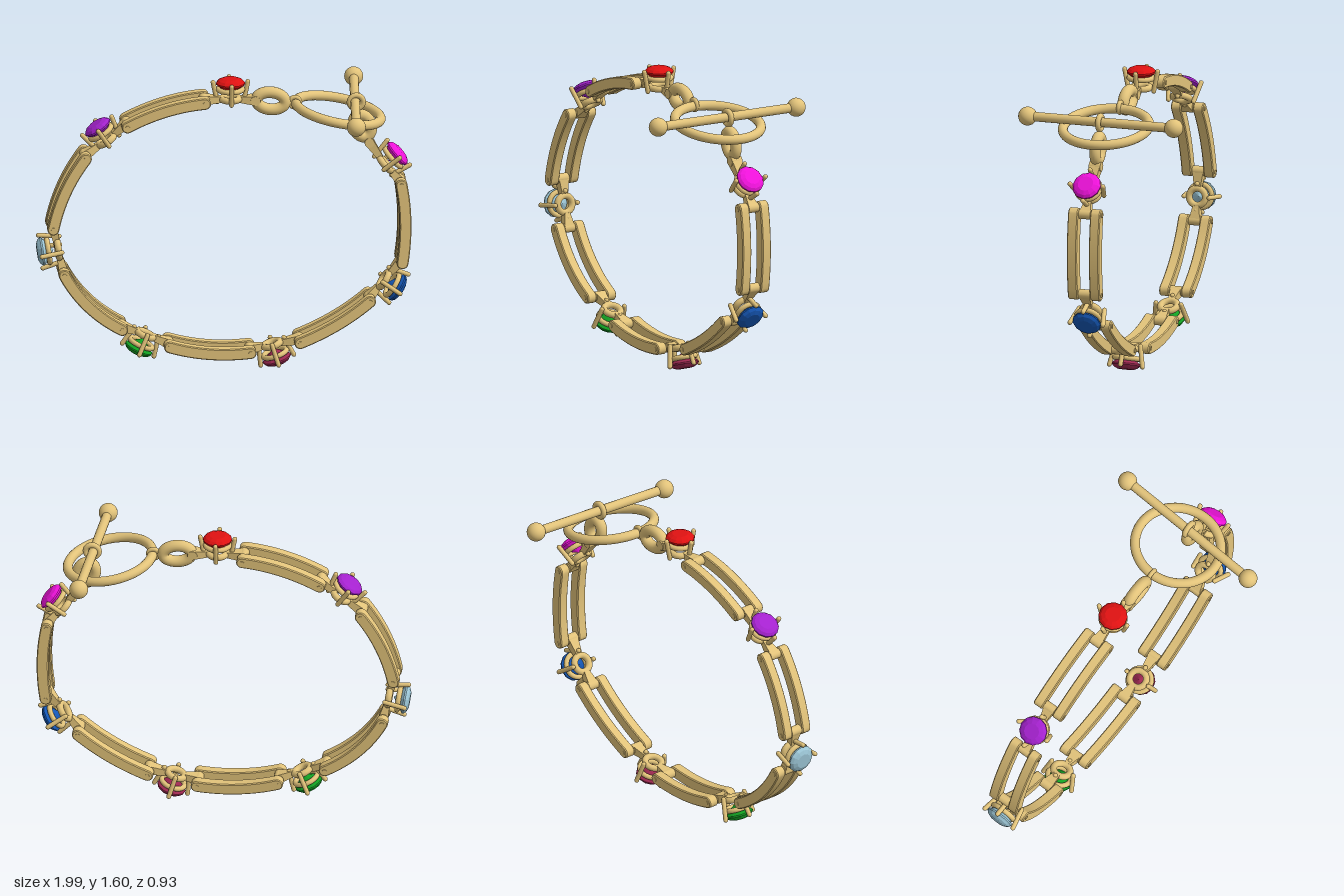
import * as THREE from 'three';
import { toCreasedNormals } from 'three/addons/utils/BufferGeometryUtils.js';

const gold = new THREE.MeshStandardMaterial({ color: 0xe2c37a });
const V = (x, y, z = 0) => new THREE.Vector3(x, y, z);

function add(parent, name, geometry, material = gold) {
  const mesh = new THREE.Mesh(geometry, material);
  mesh.name = name;
  parent.add(mesh);
  return mesh;
}

// Round rod between two points, with rounded ends
function rod(parent, name, a, b, r) {
  const dir = b.clone().sub(a);
  const mesh = add(parent, name, new THREE.CapsuleGeometry(r, dir.length(), 6, 14));
  mesh.position.copy(a).add(b).multiplyScalar(0.5);
  mesh.quaternion.setFromUnitVectors(V(0, 1), dir.normalize());
  return mesh;
}

// Stations round the bracelet: gem centre, outward direction, gem colour
const stations = [
  { at: V(0.035, 1.575), out: V(0, 1), color: 0xe01212 },
  { at: V(-0.666, 1.35), out: V(-0.54, 0.84), color: 0xa522cf },
  { at: V(-0.96, 0.67), out: V(-0.99, -0.13), color: 0x9cc6d6 },
  { at: V(-0.45, 0.12), out: V(-0.41, -0.91), color: 0x12a022 },
  { at: V(0.28, 0.045), out: V(0.3, -0.95), color: 0x9c2850 },
  { at: V(0.917, 0.42), out: V(0.83, -0.55), color: 0x1557b5 },
  { at: V(0.917, 1.163), out: V(0.76, 0.65), color: 0xf012dc },
];

// Curved side bars: start, middle, end, each joining one station to the next
const links = [
  [[-0.105, 1.49], [-0.313, 1.452], [-0.515, 1.37]],
  [[-0.735, 1.2], [-0.842, 1.018], [-0.907, 0.815]],
  [[-0.848, 0.559], [-0.72, 0.382], [-0.543, 0.249]],
  [[-0.291, 0.147], [-0.083, 0.104], [0.136, 0.104]],
  [[0.398, 0.152], [0.596, 0.249], [0.767, 0.372]],
  [[0.938, 0.58], [0.954, 0.8], [0.933, 1.013]],
];

const BASE = 0.085; // depth of the base ring below the gem
const baseOf = (s) => s.at.clone().addScaledVector(s.out, -BASE);

// Gem held by four prongs on two rings
function makeSetting({ at, out, color }) {
  const g = new THREE.Group();
  g.name = 'gemSetting';
  const profile = [[0, -0.06], [0.045, -0.028], [0.077, -0.004], [0.077, 0.004], [0.064, 0.018], [0.042, 0.027], [0, 0.027]];
  const gemGeo = new THREE.LatheGeometry(profile.map((p) => new THREE.Vector2(...p)), 12);
  add(g, 'gem', gemGeo, new THREE.MeshStandardMaterial({ color, flatShading: true }));
  for (const [name, y, r, t] of [['upperRing', -0.032, 0.063, 0.014], ['baseRing', -BASE, 0.045, 0.018]]) {
    const ring = add(g, name, new THREE.TorusGeometry(r, t, 12, 32));
    ring.rotation.x = Math.PI / 2;
    ring.position.y = y;
  }
  for (let i = 0; i < 4; i++) {
    const a = (i * Math.PI) / 2, c = Math.cos(a), s = Math.sin(a);
    rod(g, 'prong', V(0.07 * c, -0.1, 0.07 * s), V(0.092 * c, 0.008, 0.092 * s), 0.0125);
  }
  g.position.copy(at);
  g.quaternion.setFromUnitVectors(V(0, 1), out.clone().normalize());
  return g;
}

// Curved bar with round ends, extruded along z
function barGeometry(points) {
  const [a, m, b] = points.map((p) => new THREE.Vector2(...p));
  const control = m.clone().multiplyScalar(2).sub(a.clone().add(b).multiplyScalar(0.5));
  const curve = new THREE.QuadraticBezierCurve(a, control, b);
  const bevel = 0.005, h = 0.031 - bevel, n = 16, outline = [];
  const push = (t, angle) => {
    const p = curve.getPoint(t), d = curve.getTangent(t);
    const k = Math.atan2(d.y, d.x) + angle;
    outline.push(new THREE.Vector2(p.x + h * Math.cos(k), p.y + h * Math.sin(k)));
  };
  for (let i = 0; i <= n; i++) push(i / n, -Math.PI / 2);
  for (let i = 1; i < 8; i++) push(1, -Math.PI / 2 + (i * Math.PI) / 8);
  for (let i = n; i >= 0; i--) push(i / n, Math.PI / 2);
  for (let i = 1; i < 8; i++) push(0, Math.PI / 2 + (i * Math.PI) / 8);
  const geo = new THREE.ExtrudeGeometry(new THREE.Shape(outline), {
    depth: 0.055 - 2 * bevel, bevelThickness: bevel, bevelSize: bevel, bevelSegments: 1,
  });
  geo.translate(0, 0, -0.0275 + bevel);
  return toCreasedNormals(geo, 0.5);
}

// Tapered lug from a setting's base ring to a joint
function addLug(parent, from, to) {
  const dir = to.clone().sub(from), start = 0.048, len = dir.length() - start;
  const g = new THREE.Group();
  g.name = 'lug';
  const geo = new THREE.BoxGeometry(len, 0.05, 0.062);
  const p = geo.attributes.position;
  for (let i = 0; i < p.count; i++) {
    if (p.getX(i) < 0) p.setXYZ(i, p.getX(i), p.getY(i) * 0.65, p.getZ(i) * 0.55);
  }
  geo.computeVertexNormals();
  add(g, 'lugArm', geo).position.x = start + len / 2;
  const barrel = add(g, 'lugBarrel', new THREE.CylinderGeometry(0.026, 0.026, 0.064, 24));
  barrel.rotation.x = Math.PI / 2;
  barrel.position.x = start + len;
  g.position.copy(from);
  g.rotation.z = Math.atan2(dir.y, dir.x);
  parent.add(g);
}

// Oval ring lying in the xy plane
function addOval(parent, name, x, y, a, b, tube, angle) {
  const pts = [];
  for (let i = 0; i < 16; i++) {
    const t = (i * Math.PI) / 8;
    pts.push(V(a * Math.cos(t), b * Math.sin(t)));
  }
  const curve = new THREE.CatmullRomCurve3(pts, true);
  const mesh = add(parent, name, new THREE.TubeGeometry(curve, 48, tube, 16, true));
  mesh.position.set(x, y, 0);
  mesh.rotation.z = angle;
}

function addRing(parent, name, x, y, r, tube) {
  add(parent, name, new THREE.TorusGeometry(r, tube, 12, 32)).position.set(x, y, 0);
}

export function createModel() {
  const model = new THREE.Group();
  model.name = 'gemBracelet';

  stations.forEach((s) => model.add(makeSetting(s)));

  // Paired bars with lugs and pins at both ends
  links.forEach((points, i) => {
    const link = new THREE.Group();
    link.name = 'curvedLink';
    const geo = barGeometry(points);
    for (const side of [-1, 1]) add(link, 'sideBar', geo).position.z = side * 0.0615;
    [[points[0], stations[i]], [points[2], stations[i + 1]]].forEach(([end, s]) => {
      addLug(link, baseOf(s), V(...end));
      const pin = add(link, 'hingePin', new THREE.CylinderGeometry(0.012, 0.012, 0.184, 16));
      pin.rotation.x = Math.PI / 2;
      pin.position.set(...end, 0);
    });
    model.add(link);
  });

  // Toggle clasp
  const clasp = new THREE.Group();
  clasp.name = 'toggleClasp';
  addLug(clasp, baseOf(stations[0]), V(0.165, 1.482));
  addOval(clasp, 'ringSideLink', 0.248, 1.473, 0.076, 0.047, 0.031, -0.15);
  addRing(clasp, 'ringEye', 0.375, 1.462, 0.028, 0.012);
  const hoop = add(clasp, 'toggleRing', new THREE.TorusGeometry(0.228, 0.026, 16, 64));
  hoop.position.set(0.605, 1.41, 0);
  hoop.rotation.set(Math.PI / 2, -0.0, 0);
  hoop.rotation.order = 'ZYX';
  hoop.rotation.z = -0.2;

  addLug(clasp, baseOf(stations[6]), V(0.768, 1.235));
  addOval(clasp, 'barSideLink', 0.732, 1.322, 0.064, 0.046, 0.03, -1.2);
  addRing(clasp, 'barEye', 0.7, 1.455, 0.036, 0.015);
  const ends = [V(0.667, 1.45, 0.415), V(0.72, 1.463, -0.417)];
  rod(clasp, 'toggleBar', ends[0], ends[1], 0.025);
  ends.forEach((e) => add(clasp, 'toggleBall', new THREE.SphereGeometry(0.05, 24, 16)).position.copy(e));
  model.add(clasp);

  return model;
}
